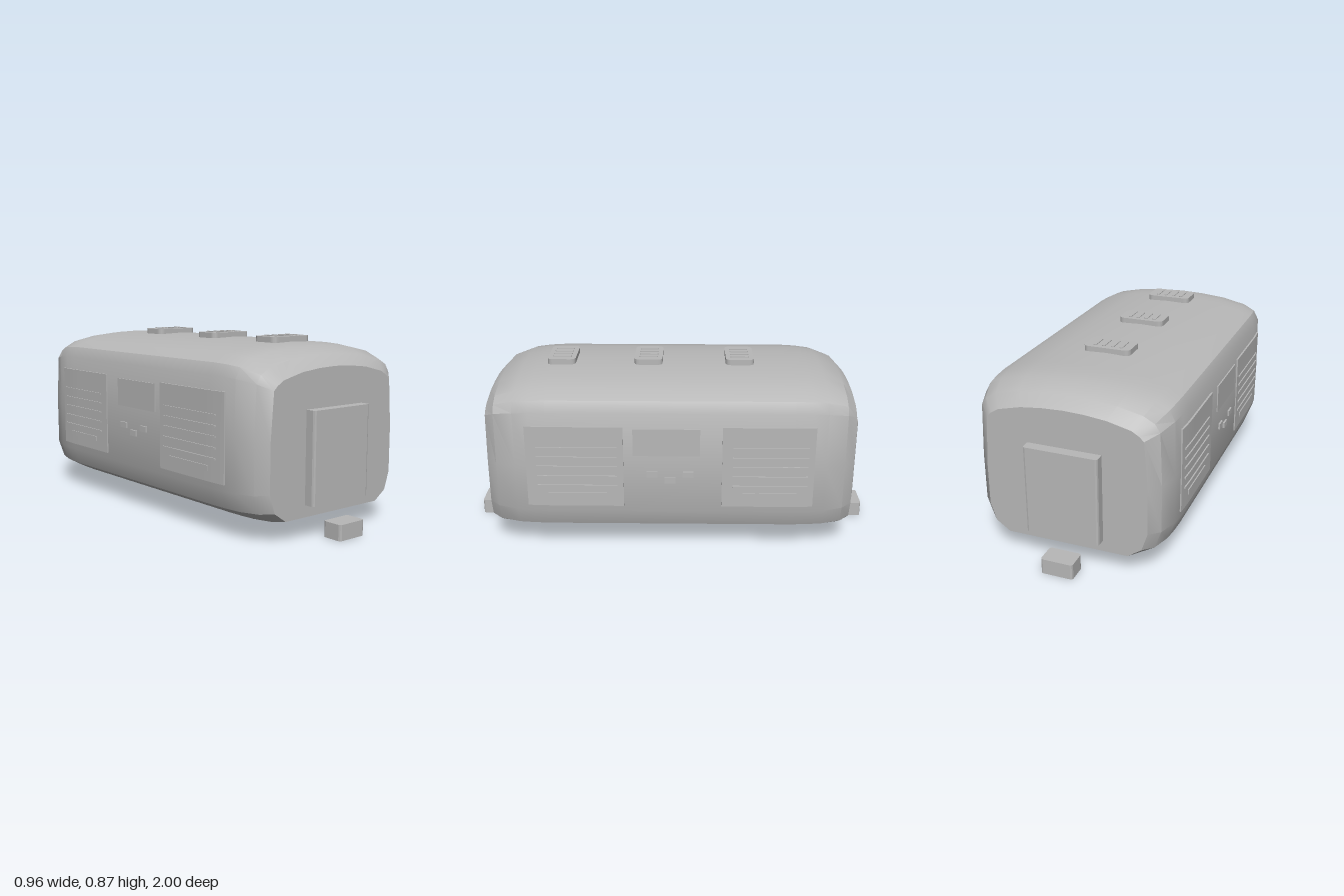
import * as THREE from 'three';
import { toCreasedNormals } from 'three/addons/utils/BufferGeometryUtils.js';

// Half cross-sections, from bottom centre to top centre: middle of the hull and its end face
const MID = [[0, 0.09], [0.35, 0.09], [0.435, 0.135], [0.467, 0.22], [0.469, 0.45], [0.464, 0.72], [0.438, 0.772], [0.375, 0.805], [0.25, 0.831], [0.12, 0.843], [0, 0.847]];
const END = [[0, 0.1], [0.29, 0.1], [0.355, 0.145], [0.383, 0.23], [0.383, 0.45], [0.366, 0.67], [0.345, 0.69], [0.31, 0.711], [0.2, 0.738], [0.1, 0.749], [0, 0.753]];
// Distance from the centre along z, and how far the section has shrunk towards END
const STATIONS = [[0, 0], [0.58, 0], [0.66, 0.04], [0.735, 0.13], [0.83, 0.46], [0.88, 1]];

function shrink(z) {
  const a = Math.abs(z);
  for (let i = 1; i < STATIONS.length; i++) {
    const [z0, t0] = STATIONS[i - 1], [z1, t1] = STATIONS[i];
    if (a <= z1) return t0 + (t1 - t0) * (a - z0) / (z1 - z0);
  }
  return 1;
}
const sideX = (z) => 0.468 - 0.085 * shrink(z);

// Hull lofted through the sections, with flat end caps
function hullGeometry() {
  const zs = [...STATIONS.slice(1).map(s => -s[0]).reverse(), ...STATIONS.slice(1).map(s => s[0])];
  const pos = [], index = [];
  const n = (MID.length - 1) * 2;
  for (const z of zs) {
    const t = shrink(z);
    const half = MID.map(([x, y], k) => [x + (END[k][0] - x) * t, y + (END[k][1] - y) * t]);
    const mirrored = half.slice(1, -1).reverse().map(([x, y]) => [-x, y]);
    for (const [x, y] of [...half, ...mirrored]) pos.push(x, y, z);
  }
  for (let i = 0; i < zs.length - 1; i++) {
    for (let j = 0; j < n; j++) {
      const a = i * n + j, b = i * n + (j + 1) % n;
      index.push(a, b, b + n, a, b + n, a + n);
    }
  }
  const back = pos.length / 3, front = back + 1, last = (zs.length - 1) * n;
  pos.push(0, 0.45, -0.88, 0, 0.45, 0.88);
  for (let j = 0; j < n; j++) {
    const k = (j + 1) % n;
    index.push(back, k, j, front, last + j, last + k);
  }
  const g = new THREE.BufferGeometry();
  g.setAttribute('position', new THREE.Float32BufferAttribute(pos, 3));
  g.setIndex(index);
  return toCreasedNormals(g, 0.5);
}

// Upright block whose vertical corners are rounded
function slab(w, d, h, r, segments) {
  const s = new THREE.Shape(), x = w / 2 - r, y = d / 2 - r;
  s.absarc(x, y, r, 0, Math.PI / 2);
  s.absarc(-x, y, r, Math.PI / 2, Math.PI);
  s.absarc(-x, -y, r, Math.PI, Math.PI * 1.5);
  s.absarc(x, -y, r, Math.PI * 1.5, Math.PI * 2);
  const g = new THREE.ExtrudeGeometry(s, { depth: h, bevelEnabled: false, curveSegments: segments });
  return g.rotateX(-Math.PI / 2);
}

// Thin plate that follows the curve of the hull side; rise is its height above the hull
function sidePlate(z0, z1, y0, y1, rise) {
  const g = new THREE.BoxGeometry(0.009, y1 - y0, z1 - z0, 1, 1, 8);
  g.translate(rise - 0.0045, (y0 + y1) / 2, (z0 + z1) / 2);
  const p = g.attributes.position;
  for (let i = 0; i < p.count; i++) p.setX(i, p.getX(i) + sideX(p.getZ(i)));
  g.computeVertexNormals();
  return g;
}

export function createModel() {
  const model = new THREE.Group();
  model.name = 'capsule';
  const grey = new THREE.MeshStandardMaterial({ color: 0xb8b8b8 });
  grey.name = 'plain grey';
  const add = (parent, name, geometry, x = 0, y = 0, z = 0) => {
    const m = new THREE.Mesh(geometry, grey);
    m.name = name;
    m.position.set(x, y, z);
    parent.add(m);
    return m;
  };

  add(model, 'hull', hullGeometry());

  // End doors and couplers
  const door = slab(0.35, 0.08, 0.42, 0.011, 1);
  const coupler = slab(0.154, 0.1, 0.073, 0.011, 1);
  for (const [side, s] of [['front', 1], ['back', -1]]) {
    add(model, side + 'Door', door, 0, 0.155, s * 0.89);
    add(model, side + 'Coupler', coupler, 0, 0, s * 0.95);
  }

  // Roof vents with raised slats
  const ventBase = slab(0.23, 0.138, 0.04, 0.026, 3);
  const slat = slab(0.016, 0.092, 0.04, 0.007, 3);
  for (const z of [0.541, 0.112, -0.338]) {
    const vent = new THREE.Group();
    vent.name = 'roofVent';
    vent.position.set(0, 0.83, z);
    add(vent, 'ventBase', ventBase);
    for (const x of [-0.065, -0.022, 0.022, 0.065]) add(vent, 'ventSlat', slat, x, 0.004, 0);
    model.add(vent);
  }

  // Side fittings, the same on both sides
  for (const [side, turn] of [['left', 1], ['right', -1]]) {
    const g = new THREE.Group();
    g.name = side + 'SideFittings';
    const plate = (name, z0, z1, y0, y1, rise) => {
      const geo = turn > 0 ? sidePlate(z0, z1, y0, y1, rise) : sidePlate(-z1, -z0, y0, y1, rise);
      add(g, name, geo);
    };
    plate('window', -0.14, 0.175, 0.51, 0.645, 0.004);
    for (const [z0, z1] of [[0.22, 0.68], [-0.68, -0.245]]) {
      plate('servicePanel', z0, z1, 0.25, 0.655, 0.006);
      for (const y of [0.55, 0.502, 0.455, 0.405, 0.357]) {
        plate('louver', z0 + 0.03, z1 - 0.05, y - 0.004, y + 0.004, 0.012);
      }
      plate('handleBar', z0 + 0.08, z1 - 0.1, 0.298, 0.322, 0.011);
    }
    for (const [z, y] of [[0.085, 0.418], [0, 0.387], [-0.085, 0.418]]) {
      plate('button', z - 0.025, z + 0.025, y - 0.014, y + 0.014, 0.012);
    }
    if (turn < 0) g.rotation.y = Math.PI;
    model.add(g);
  }
  return model;
}
